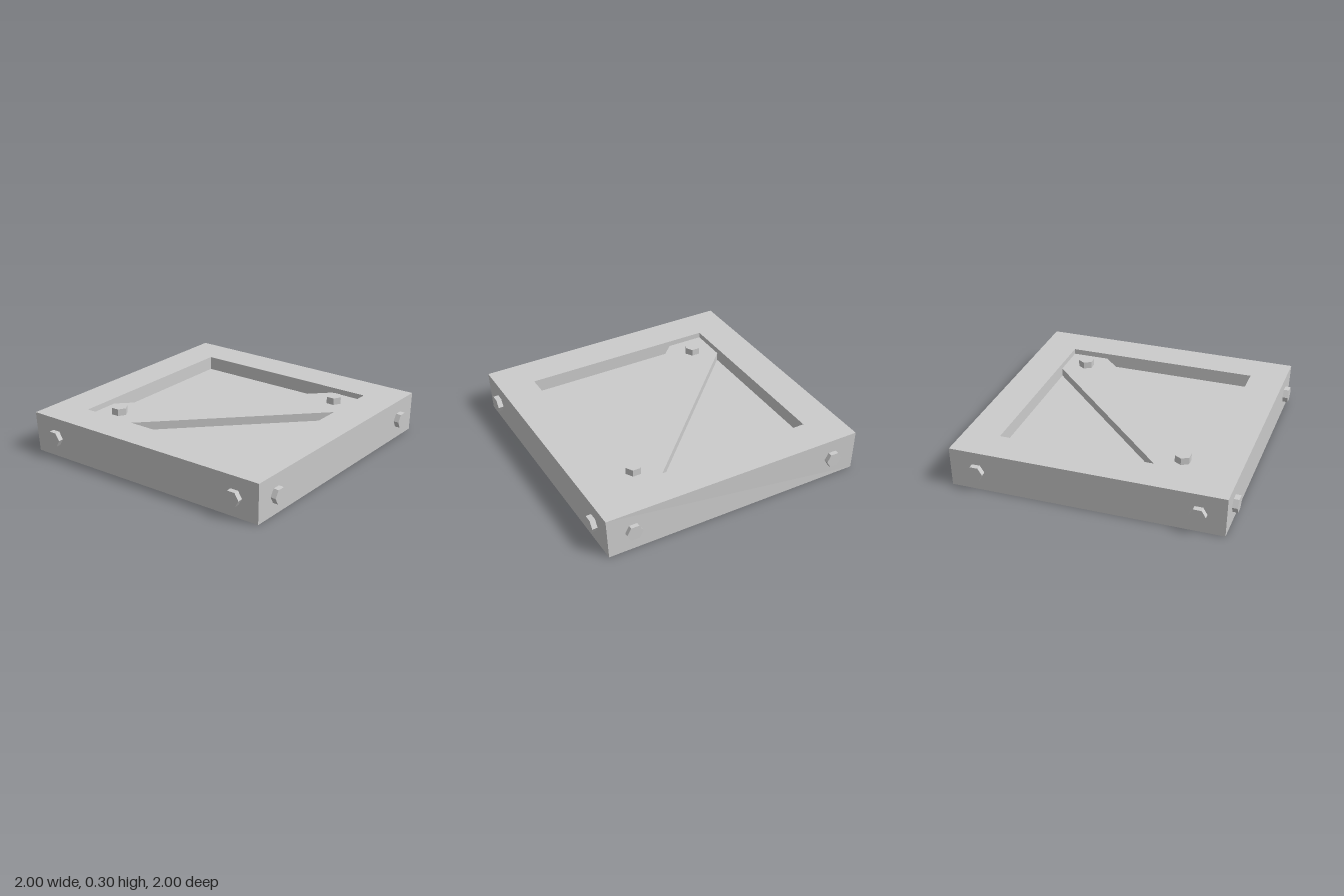
import * as THREE from 'three';

const OUTER = 0.966, INNER = 0.708, TOP = 0.29;

const material = new THREE.MeshStandardMaterial({ color: 0xcccccc, flatShading: true });

function addMesh(parent, name, geometry) {
  const mesh = new THREE.Mesh(geometry, material);
  mesh.name = name;
  parent.add(mesh);
  return mesh;
}

// Flat plate from [x, z] corners, standing between two heights
function plate(corners, bottom, top, hole) {
  const toPoints = (list) => list.map(([x, z]) => new THREE.Vector2(x, -z));
  const shape = new THREE.Shape(toPoints(corners));
  if (hole) shape.holes.push(new THREE.Path(toPoints(hole)));
  return new THREE.ExtrudeGeometry(shape, { depth: top - bottom, bevelEnabled: false })
    .rotateX(-Math.PI / 2)
    .translate(0, bottom, 0);
}

const square = (r) => [[-r, r], [r, r], [r, -r], [-r, -r]];

// Hexagonal bolt head with its corners pointing along x
const boltHead = (height) => new THREE.CylinderGeometry(0.058, 0.058, height, 6, 1, false, Math.PI / 2);

export function createModel() {
  const model = new THREE.Group();
  model.name = 'bracedPanel';

  // Square frame, narrowing slightly towards the floor, with a skewed back corner
  const frame = plate(square(OUTER), 0, TOP, square(INNER));
  const p = frame.attributes.position;
  for (let i = 0; i < p.count; i++) {
    const x = p.getX(i), z = p.getZ(i);
    if (p.getY(i) > 0.01 || Math.abs(x) < 0.9) continue;
    p.setX(i, Math.sign(x) * 0.954);
    p.setZ(i, z > 0 ? 0.955 : x > 0 ? -0.974 : -0.965);
  }
  frame.computeVertexNormals();
  addMesh(model, 'frame', frame);

  // Panel recessed from both faces
  addMesh(model, 'panel', new THREE.BoxGeometry(1.43, 0.1, 1.43)).position.y = 0.14;

  // Diagonal brace across the panel, ends cut to the frame's corners
  const a = INNER, b = 0.437;
  addMesh(model, 'brace', plate([[-a, a], [-b, a], [a, -b], [a, -a], [b, -a], [-a, b]], 0.18, 0.25));

  // Bolts on the brace
  for (const s of [-1, 1]) {
    addMesh(model, 'braceBolt', boltHead(0.06)).position.set(s * 0.55, 0.27, -s * 0.55);
  }

  // Two bolts on each outer side, square to the sloping faces
  ['front', 'left', 'back', 'right'].forEach((name, i) => {
    const side = new THREE.Group();
    side.name = name + 'Bolts';
    side.rotation.y = i * Math.PI / 2;
    for (const s of [-1, 1]) {
      const bolt = addMesh(side, 'sideBolt', boltHead(0.07));
      bolt.position.set(s * 0.775, 0.145, 0.963);
      bolt.rotation.x = Math.PI / 2 + (name === 'back' ? 0 : 0.04);
    }
    model.add(side);
  });

  return model;
}
